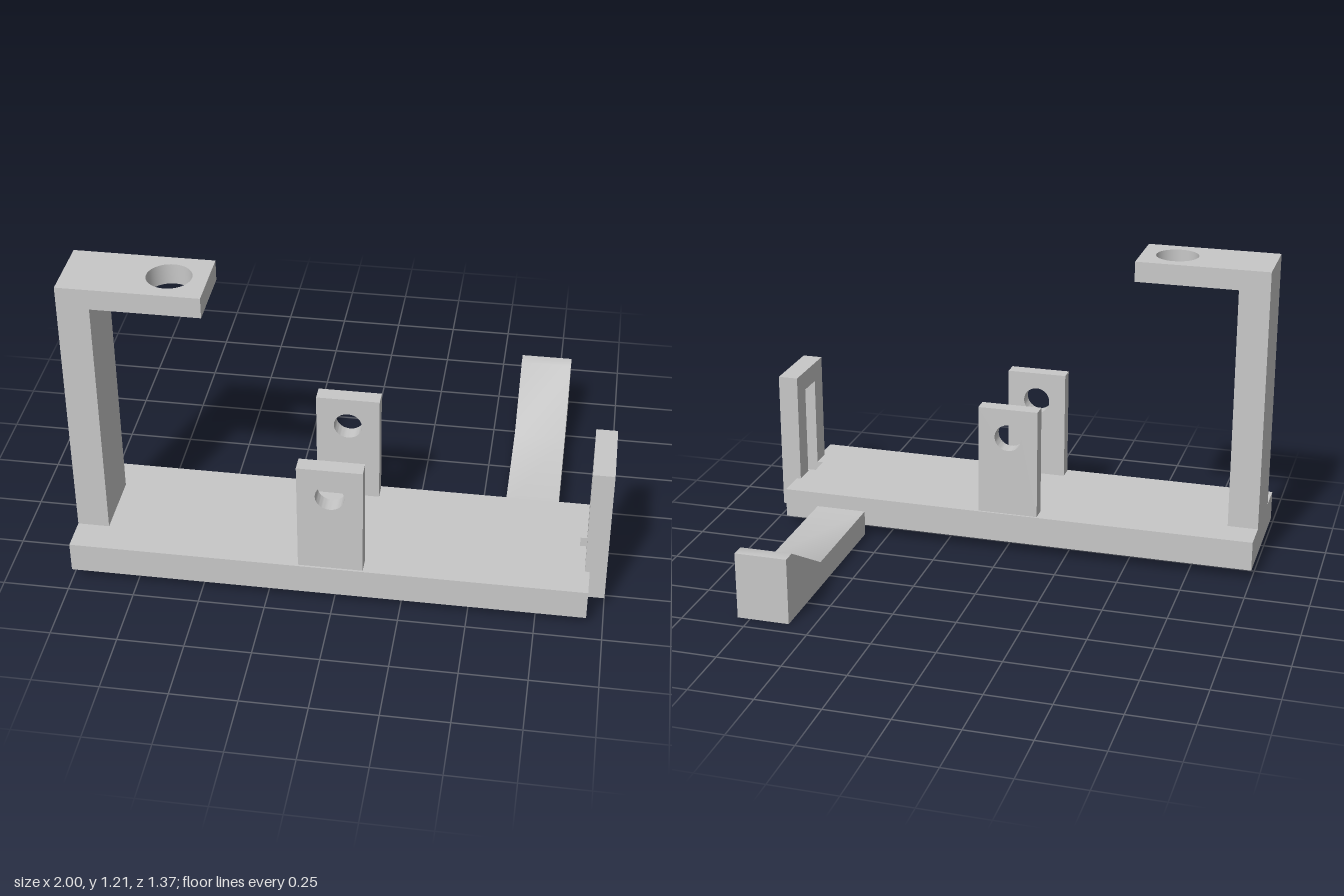
import * as THREE from 'three';
import { toCreasedNormals } from 'three/addons/utils/BufferGeometryUtils.js';

const polygon = (points) => new THREE.Shape(points.map(([a, b]) => new THREE.Vector2(a, b)));
const rect = (a0, b0, a1, b1) => polygon([[a0, b0], [a1, b0], [a1, b1], [a0, b1]]);

function withRoundHole(shape, a, b, radius) {
  shape.holes.push(new THREE.Path().absarc(a, b, radius, 0, Math.PI * 2, true));
  return shape;
}

function extrude(shape, depth) {
  return new THREE.ExtrudeGeometry(shape, { depth, bevelEnabled: false, curveSegments: 24 });
}

// Outline in (x, y), running from z0 to z1
const alongZ = (shape, z0, z1) => extrude(shape, z1 - z0).translate(0, 0, z0);
// Outline in (z, y), running from x0 to x1
const alongX = (shape, x0, x1) => extrude(shape, x1 - x0).rotateY(-Math.PI / 2).translate(x1, 0, 0);
// Outline in (x, z), running from y0 to y1
const alongY = (shape, y0, y1) => extrude(shape, y1 - y0).rotateX(Math.PI / 2).translate(0, y1, 0);

export function createModel() {
  const model = new THREE.Group();
  model.name = 'bracketFrame';
  const grey = new THREE.MeshStandardMaterial({ color: 0xc8c8c8 });
  grey.name = 'light grey';

  const add = (name, geometry) => {
    const mesh = new THREE.Mesh(toCreasedNormals(geometry, 0.6), grey);
    mesh.name = name;
    model.add(mesh);
  };

  // Base slab; its upper layer is notched where the end plate's slot runs into it
  const [back, front, slot0, slot1] = [0.162, 0.686, 0.37, 0.48];
  const [bottom, notch, top, end] = [0.042, 0.122, 0.161, 0.938];
  add('baseLower', alongY(rect(-1, back, end, front), bottom, notch));
  add('baseUpper', alongY(polygon([
    [-1, back], [end, back], [end, slot0], [0.895, slot0],
    [0.895, slot1], [end, slot1], [end, front], [-1, front],
  ]), notch, top));

  // Tall post and overhanging arm with a vertical bore
  add('post', alongY(rect(-1, 0.295, -0.88, 0.557), top, 1.133));
  add('arm', alongY(withRoundHole(rect(-1, 0.295, -0.478, 0.557), -0.618, 0.425, 0.083), 1.133, 1.213));

  // Pair of pivot lugs
  for (const [name, z] of [['backLug', 0.17], ['frontLug', 0.618]]) {
    add(name, alongZ(withRoundHole(rect(-0.132, top, 0.11, 0.606), -0.011, 0.486, 0.054), z, z + 0.06));
  }

  // Slotted plate across the end of the base
  const plate = rect(0.284, bottom, 0.566, 0.606);
  plate.holes.push(rect(slot0, notch, slot1, 0.528));
  add('slottedEndPlate', alongX(plate, 0.92, 1));

  // Rear foot rising to a wedge
  add('wedgeFoot', alongX(polygon([
    [back, 0], [back, 0.101], [-0.345, 0.101], [-0.63, 0.264], [-0.686, 0.264], [-0.686, 0],
  ]), 0.595, 0.8));

  return model;
}
